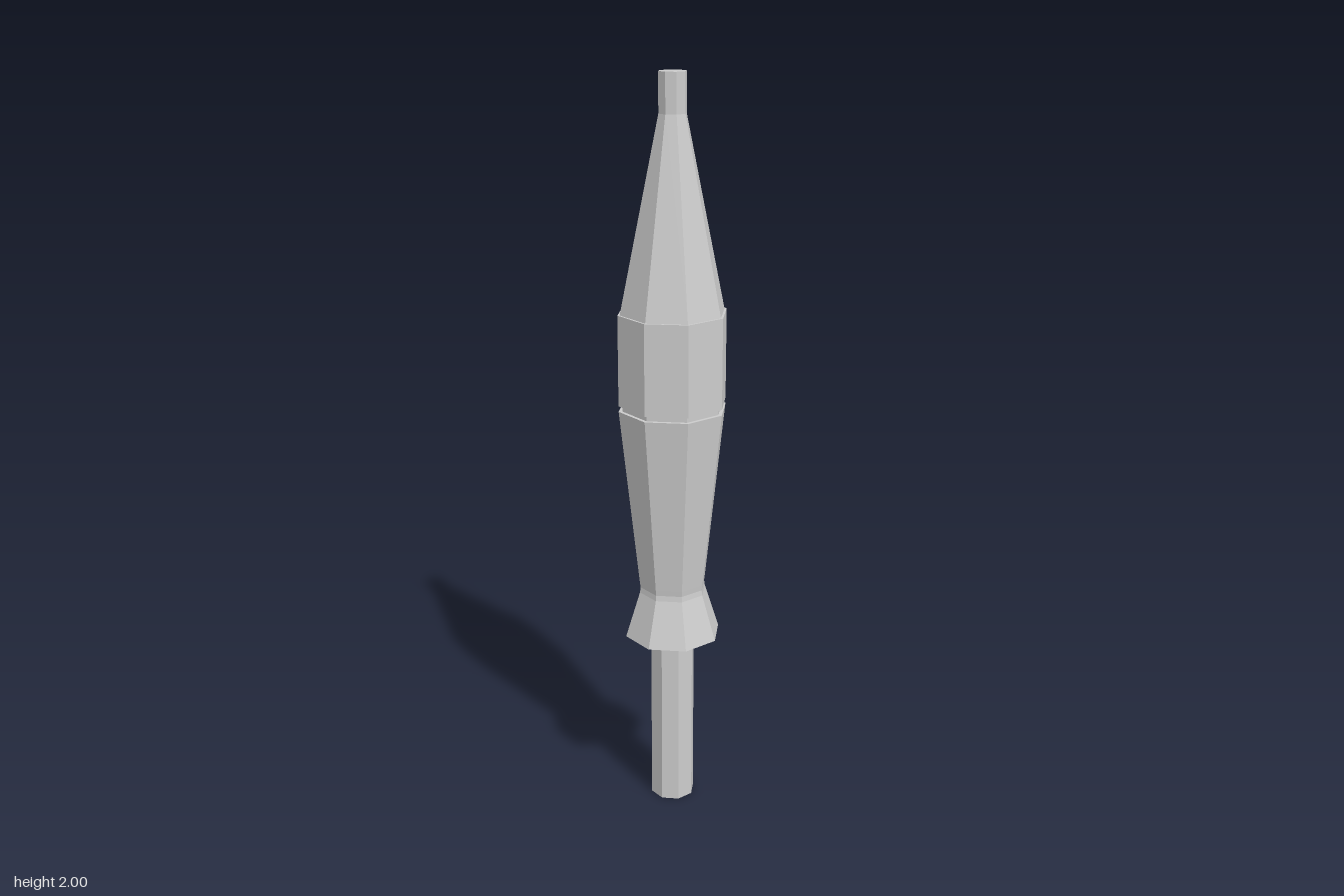
import * as THREE from 'three';

const SIDES = 8;

export function createModel() {
  const model = new THREE.Group();
  const material = new THREE.MeshStandardMaterial({ color: 0xcccccc, flatShading: true });

  // Octagonal turned part from [radius, height] pairs, bottom to top
  function turned(name, profile) {
    const points = profile.map(([r, y]) => new THREE.Vector2(r, y));
    const mesh = new THREE.Mesh(new THREE.LatheGeometry(points, SIDES), material);
    mesh.name = name;
    model.add(mesh);
  }

  // Lower rod
  turned('shaft', [[0, 0], [0.061, 0], [0.061, 0.52]]);

  // Tapered grip with a flared foot and a softened waist
  turned('grip', [
    [0, 0.503], [0.132, 0.503], [0.092, 0.63], [0.09, 0.645], [0.092, 0.66],
    [0.145, 1.15], [0, 1.15],
  ]);

  // Recessed ring between grip and collar
  turned('groove', [[0.135, 1.145], [0.135, 1.17]]);

  // Straight collar
  turned('collar', [[0, 1.165], [0.145, 1.165], [0.145, 1.405], [0, 1.405]]);

  // Long nose cone ending in a narrow tip
  turned('noseCone', [[0.139, 1.405], [0.036, 1.9]]);
  turned('tip', [[0.036, 1.9], [0.036, 2], [0, 2]]);

  return model;
}
